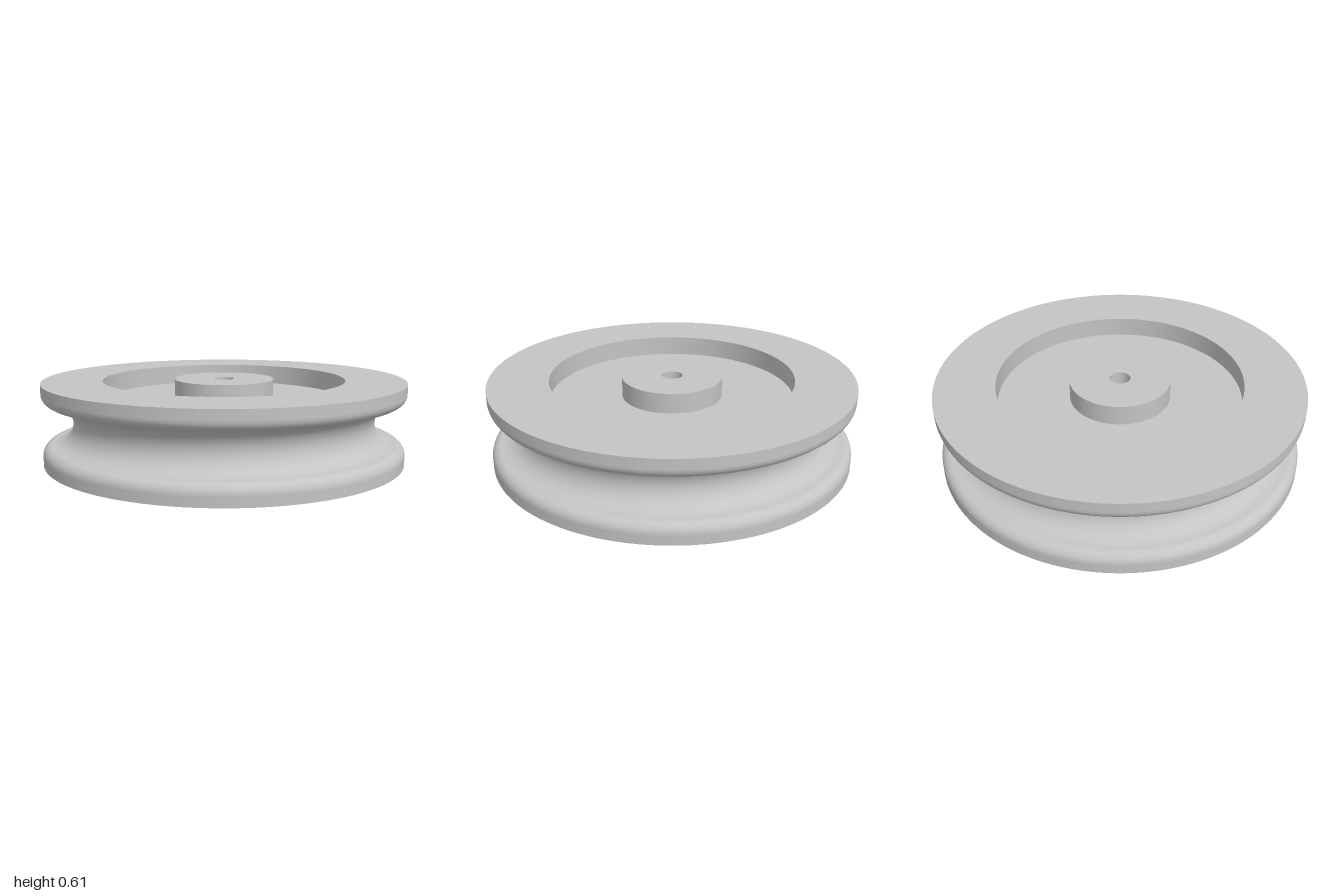
import * as THREE from 'three';

const SEGMENTS = 128;
const V = (r, y) => new THREE.Vector2(r, y);

// Points of an arc in the (radius, height) plane
function arc(cr, cy, radius, from, to, steps) {
  return Array.from({ length: steps + 1 }, (_, i) => {
    const a = from + (to - from) * i / steps;
    return V(cr + radius * Math.cos(a), cy + radius * Math.sin(a));
  });
}

export function createModel() {
  const metal = new THREE.MeshStandardMaterial({ color: 0xc4c4c4 });
  metal.name = 'light grey metal';
  const model = new THREE.Group();
  model.name = 'pulleyWheel';

  function group(name) {
    const g = new THREE.Group();
    g.name = name;
    model.add(g);
    return g;
  }

  // One smooth turned surface; outside runs upward, inside runs downward
  function turn(parent, name, points) {
    const mesh = new THREE.Mesh(new THREE.LatheGeometry(points, SEGMENTS), metal);
    mesh.name = name;
    parent.add(mesh);
  }

  // Consecutive points turned as separate surfaces, so every corner is sharp
  function turnSharp(parent, name, points) {
    for (let i = 0; i < points.length - 1; i++) turn(parent, name + (i + 1), [points[i], points[i + 1]]);
  }

  const bottom = 0.17, top = 0.61, mid = 0.39;
  const floorLow = 0.28, floorHigh = 0.5;
  const recessR = 0.67, hubR = 0.275;
  const grooveR = 0.112, lip = 0.054, lipR = 1 - lip;

  // Rim: flat bands, rounded lips and rope groove
  const rim = group('rim');
  const lowLip = mid - grooveR - lip, highLip = mid + grooveR + lip;
  turnSharp(rim, 'lowerBand', [V(1, bottom), V(1, lowLip)]);
  turn(rim, 'grooveAndLips', [
    ...arc(lipR, lowLip, lip, 0, Math.PI / 2, 10),
    ...arc(lipR, mid, grooveR, -Math.PI / 2, -Math.PI * 1.5, 28).slice(1),
    ...arc(lipR, highLip, lip, -Math.PI / 2, 0, 10).slice(1),
  ]);
  turnSharp(rim, 'upperBand', [V(1, highLip), V(1, top)]);
  turnSharp(rim, 'upperFace', [V(1, top), V(recessR, top), V(recessR, floorHigh)]);
  turnSharp(rim, 'lowerFace', [V(recessR, floorLow), V(recessR, bottom), V(1, bottom)]);

  // Web: recessed disc faces between rim and hub
  const web = group('web');
  turnSharp(web, 'upperWeb', [V(recessR, floorHigh), V(hubR, floorHigh)]);
  turnSharp(web, 'lowerWeb', [V(hubR, floorLow), V(recessR, floorLow)]);

  // Hub: boss above and below, with stepped and chamfered bore
  const hub = group('hub');
  turnSharp(hub, 'hubWallAndBore', [
    V(hubR, floorHigh), V(hubR, top), V(0.057, top), V(0.057, 0.48),
    V(0.112, 0.48), V(0.112, 0.034), V(0.146, 0), V(hubR, 0), V(hubR, floorLow),
  ]);

  return model;
}
